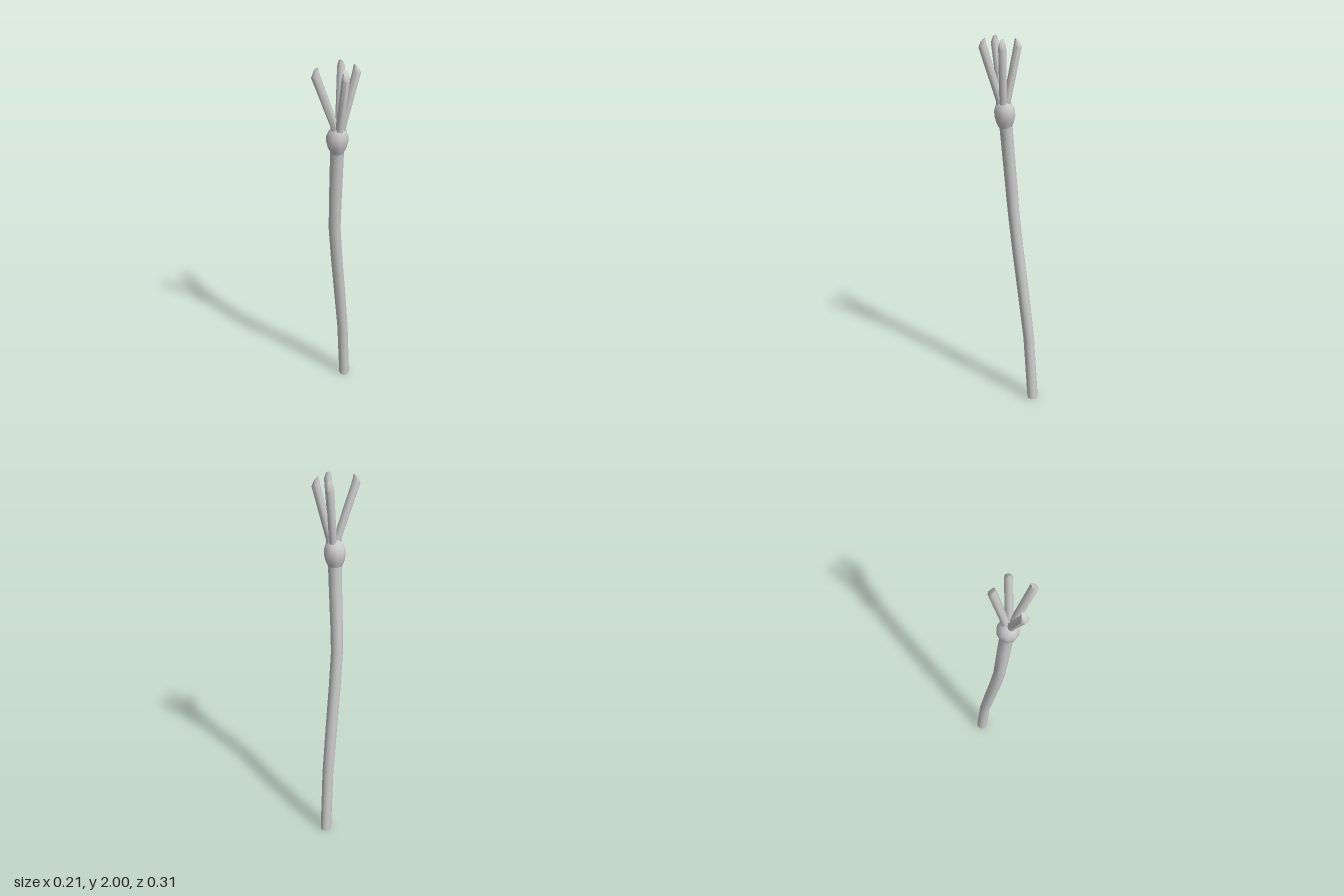
import * as THREE from 'three';
import { toCreasedNormals } from 'three/addons/utils/BufferGeometryUtils.js';

const material = new THREE.MeshStandardMaterial({ color: 0xcccccc });

// Closed tube through level rings [x, y, z, radius, tiltX, tiltZ]; tilt slopes a ring.
function loft(name, rings, sides) {
  const pos = [], index = [];
  for (const [x, y, z, r, tx = 0, tz = 0] of rings) {
    for (let i = 0; i < sides; i++) {
      const a = (i / sides) * Math.PI * 2;
      const dx = r * Math.cos(a), dz = r * Math.sin(a);
      pos.push(x + dx, y + dx * tx + dz * tz, z + dz);
    }
  }
  const last = rings.length - 1, bottom = pos.length / 3;
  pos.push(...rings[0].slice(0, 3), ...rings[last].slice(0, 3));
  for (let i = 0; i < sides; i++) {
    const j = (i + 1) % sides;
    for (let k = 0; k < last; k++) {
      const a = k * sides + i, b = k * sides + j;
      index.push(a, a + sides, b, b, a + sides, b + sides);
    }
    index.push(bottom, i, j, bottom + 1, last * sides + j, last * sides + i);
  }
  const geo = new THREE.BufferGeometry();
  geo.setAttribute('position', new THREE.Float32BufferAttribute(pos, 3));
  geo.setIndex(index);
  const mesh = new THREE.Mesh(toCreasedNormals(geo, 0.9), material);
  mesh.name = name;
  return mesh;
}

export function createModel() {
  const group = new THREE.Group();
  group.name = 'prongedStaff';

  // Gently crooked shaft
  group.add(loft('shaft', [
    [-0.074, 0, -0.124, 0.030],
    [-0.066, 0.38, -0.096, 0.030],
    [-0.059, 0.65, -0.059, 0.031],
    [-0.052, 0.90, -0.023, 0.031],
    [-0.046, 1.10, 0.002, 0.031],
    [-0.036, 1.25, 0.010, 0.032],
    [-0.022, 1.43, 0.018, 0.033],
    [-0.009, 1.60, 0.026, 0.034],
  ], 10));

  // Swollen knob below the prongs
  group.add(loft('knob', [
    [-0.010, 1.555, 0.026, 0.032],
    [-0.009, 1.582, 0.027, 0.045],
    [-0.008, 1.615, 0.028, 0.053],
    [-0.007, 1.645, 0.029, 0.053],
    [-0.004, 1.672, 0.030, 0.042],
    [0, 1.695, 0.031, 0.022],
  ], 10));

  // Four splayed prongs with bevelled tips, higher on the inner side
  const tips = [[0.066, -0.024], [0.085, 0.088], [-0.050, 0.135], [-0.031, -0.036]];
  const prongs = new THREE.Group();
  prongs.name = 'prongs';
  for (const [x, z] of tips) {
    const out = new THREE.Vector2(x, z - 0.03).normalize();
    const at = (px, pz, y, r, slope) =>
      [px, y, pz, r, -out.x * slope, -out.y * slope];
    prongs.add(loft('prong', [
      at(out.x * 0.012, 0.03 + out.y * 0.012, 1.65, 0.022, 0),
      at(out.x * 0.020, 0.03 + out.y * 0.020, 1.70, 0.019, 0.2),
      at(x, z, 1.962, 0.019, 0.5),
      at(x - out.x * 0.002, z - out.y * 0.002, 1.986, 0.012, 1.0),
    ], 8));
  }
  group.add(prongs);
  return group;
}
